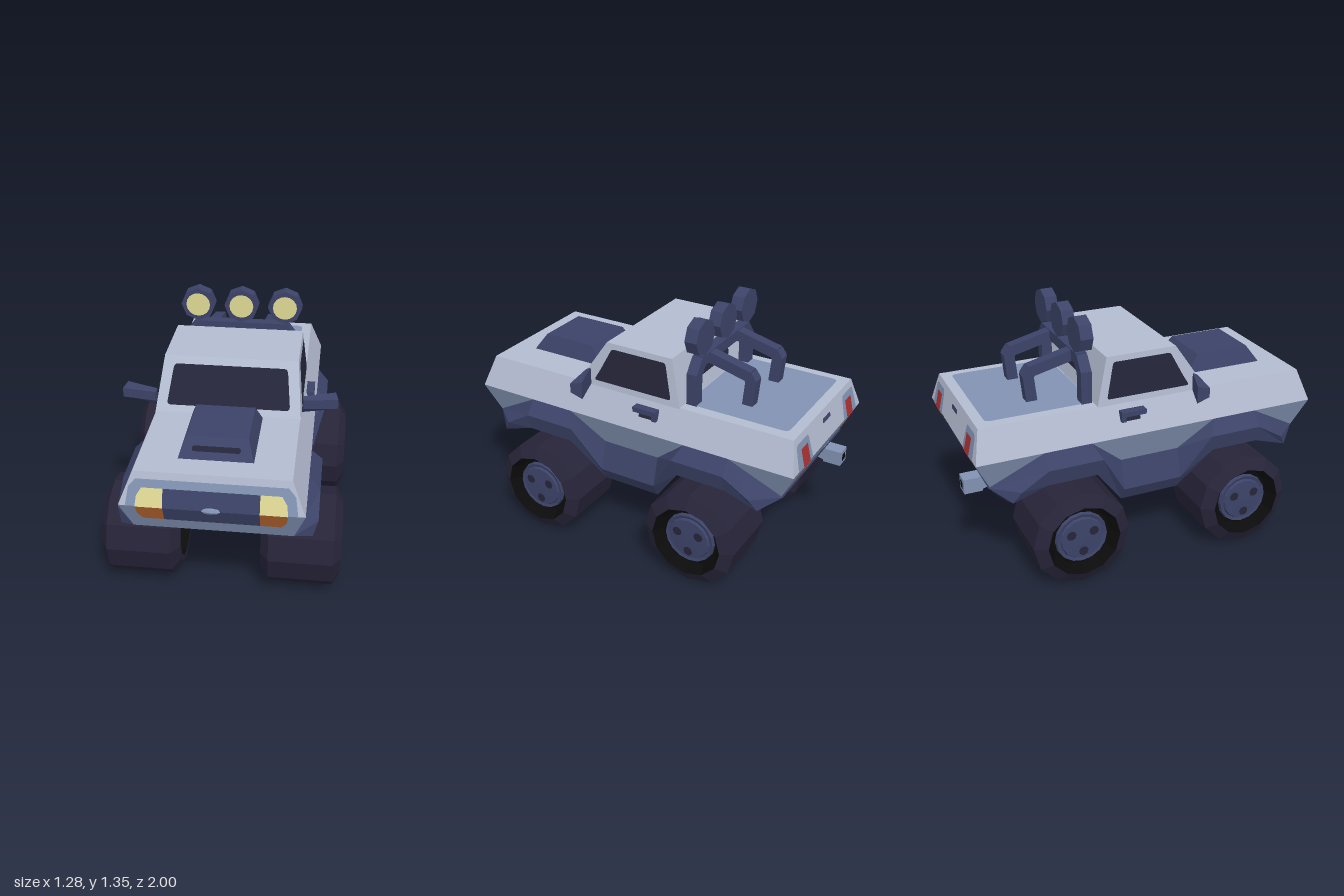
import * as THREE from 'three';

const paint = (color) => new THREE.MeshStandardMaterial({ color, flatShading: true, side: THREE.DoubleSide });
const lin = (y0, a, y1, b) => (y) => a + (b - a) * (y - y0) / (y1 - y0);
const V = (x, y, z) => new THREE.Vector3(x, y, z);

export function createModel() {
  const M = {
    bodySilver: paint(0xb3bbd0), trimBlue: paint(0x8192b2), navy: paint(0x3c4368),
    tyre: paint(0x272439), glass: paint(0x25253a), black: paint(0x0b0b0c),
    lampYellow: paint(0xdfda94), amber: paint(0xb4652f), red: paint(0xa83032),
  };
  for (const n in M) M[n].name = n;
  const model = new THREE.Group();
  model.name = 'monsterPickup';

  function add(name, geo, mat, parent = model) {
    const g = geo.index ? geo.toNonIndexed() : geo;
    g.computeVertexNormals();
    const mesh = new THREE.Mesh(g, mat);
    mesh.name = name;
    parent.add(mesh);
    return mesh;
  }
  // Box whose bottom and top are [half width, front z, back z]
  function frustum(name, mat, y0, lo, y1, hi) {
    const g = new THREE.BoxGeometry(2, 2, 2), p = g.attributes.position;
    for (let i = 0; i < p.count; i++) {
      const s = p.getY(i) < 0 ? lo : hi;
      p.setXYZ(i, p.getX(i) * s[0], p.getY(i) < 0 ? y0 : y1, p.getZ(i) > 0 ? s[1] : s[2]);
    }
    return add(name, g, mat);
  }
  // Flat painted panel with rounded corners, laid on a surface by a mapping
  function panel(name, mat, pts, r, map) {
    const s = new THREE.Shape(), v = pts.map(([x, y]) => new THREE.Vector2(x, y)), n = v.length;
    const toward = (a, b) => a.clone().add(b.clone().sub(a).setLength(r));
    v.forEach((c, i) => {
      const a = r ? toward(c, v[(i + n - 1) % n]) : c, b = r ? toward(c, v[(i + 1) % n]) : c;
      if (i) s.lineTo(a.x, a.y); else s.moveTo(a.x, a.y);
      if (r) s.quadraticCurveTo(c.x, c.y, b.x, b.y);
    });
    const g = new THREE.ShapeGeometry(s, 3), p = g.attributes.position;
    for (let i = 0; i < p.count; i++) p.setXYZ(i, ...map(p.getX(i), p.getY(i)));
    return add(name, g, mat);
  }
  const onFront = (z, e) => (u, v) => [u, v, z(v) + e];
  const onBack = (z, e) => (u, v) => [-u, v, z(v) - e];
  const rect = (x0, x1, y0, y1) => [[x0, y0], [x1, y0], [x1, y1], [x0, y1]];
  const box = (name, mat, size, pos) => {
    const m = add(name, new THREE.BoxGeometry(...size), mat);
    m.position.set(...pos);
    return m;
  };
  const bar = (name, mat, a, b, w) => {
    const m = add(name, new THREE.BoxGeometry(w, w, a.distanceTo(b) + w * 0.3), mat);
    m.position.copy(a).lerp(b, 0.5);
    m.lookAt(b);
    return m;
  };

  // Body shell, cab and hood scoop
  frustum('lowerBody', M.trimBlue, 0.56, [0.40, 0.91, -0.90], 0.725, [0.455, 0.98, -0.98]);
  frustum('upperBody', M.bodySilver, 0.725, [0.455, 0.98, -0.98], 0.895, [0.386, 0.93, -0.94]);
  frustum('cab', M.bodySilver, 0.89, [0.39, 0.34, -0.30], 1.15, [0.36, 0.165, -0.235]);
  frustum('hoodScoop', M.navy, 0.89, [0.19, 0.80, 0.34], 0.99, [0.155, 0.73, 0.41]);
  panel('scoopSlot', M.glass, rect(-0.12, 0.12, 0.93, 0.953), 0.01, onFront(lin(0.89, 0.80, 0.99, 0.73), 0.004));
  panel('bedFloor', M.trimBlue, rect(-0.33, 0.33, 0.305, 0.885), 0.03, (u, v) => [u, 0.899, -v]);

  // Cab windows
  panel('windshield', M.glass, [[-0.33, 0.93], [0.33, 0.93], [0.305, 1.115], [-0.305, 1.115]], 0.02,
    onFront(lin(0.89, 0.34, 1.15, 0.165), 0.005));
  panel('rearWindow', M.glass, rect(-0.19, 0.19, 0.97, 1.07), 0.02, onBack(lin(0.89, -0.30, 1.15, -0.235), 0.004));
  const cabX = lin(0.89, 0.39, 1.15, 0.36);
  for (const s of [1, -1]) {
    const pts = [[0.235, 0.925], [0.20, 0.985], [0.13, 1.12], [-0.20, 1.12], [-0.245, 0.925]].map(([z, y]) => [-s * z, y]);
    panel('sideWindow', M.glass, pts, 0.015, (u, v) => [s * (cabX(v) + 0.004), v, -s * u]);
  }

  // Front face
  const fUp = lin(0.725, 0.98, 0.895, 0.93), fLow = lin(0.56, 0.91, 0.725, 0.98);
  panel('frontTrim', M.trimBlue, [[-0.42, 0.726], [0.42, 0.726], [0.405, 0.82], [0.37, 0.86], [-0.37, 0.86], [-0.405, 0.82]],
    0, onFront(fUp, 0.003));
  panel('upperGrille', M.navy, rect(-0.236, 0.236, 0.725, 0.82), 0, onFront(fUp, 0.006));
  panel('lowerGrille', M.navy, rect(-0.236, 0.236, 0.635, 0.725), 0, onFront(fLow, 0.006));
  const latch = add('grilleLatch', new THREE.SphereGeometry(1, 8, 4), M.trimBlue);
  latch.scale.set(0.055, 0.017, 0.018);
  latch.position.set(0, 0.725, 0.98);

  // Back face
  const bUp = lin(0.725, -0.98, 0.895, -0.94), bLow = lin(0.56, -0.90, 0.725, -0.98);
  panel('tailgateHandle', M.navy, rect(-0.05, 0.05, 0.83, 0.855), 0.01, onBack(bUp, 0.005));

  const bodyX = lin(0.725, 0.455, 0.895, 0.386);
  for (const s of [1, -1]) {
    const mir = (pts) => pts.map(([x, y]) => [s * x, y]);
    panel('headlight', M.lampYellow, mir([[0.236, 0.725], [0.372, 0.725], [0.365, 0.78], [0.34, 0.82], [0.236, 0.82]]), 0, onFront(fUp, 0.006));
    panel('indicator', M.amber, mir([[0.236, 0.635], [0.34, 0.635], [0.365, 0.67], [0.372, 0.725], [0.236, 0.725]]), 0, onFront(fLow, 0.006));
    panel('tailTrim', M.trimBlue, mir([[0.215, 0.726], [0.395, 0.726], [0.375, 0.86], [0.23, 0.86]]), 0.02, onBack(bUp, 0.003));
    panel('tailLight', M.red, mir(rect(0.255, 0.335, 0.725, 0.825)), 0, onBack(bUp, 0.006));
    panel('tailIndicator', M.amber, mir([[0.265, 0.635], [0.325, 0.635], [0.335, 0.725], [0.255, 0.725]]), 0, onBack(bLow, 0.005));

    // Door handle with its dark recess
    panel('handleRecess', M.glass, mir([[-0.045, 0.80], [0.05, 0.80], [0.05, 0.86], [-0.045, 0.86]]),
      0, (u, v) => [s * (bodyX(v) + 0.004), v, -0.115 - s * u]);
    box('doorHandle', M.navy, [0.05, 0.028, 0.14], [s * 0.42, 0.845, -0.113]);
    box('handleEnd', M.navy, [0.045, 0.05, 0.025], [s * 0.422, 0.828, -0.172]);

    // Swept mirror, thinner toward the door
    const g = new THREE.BoxGeometry(0.185, 0.095, 0.065), p = g.attributes.position;
    for (let i = 0; i < p.count; i++) {
      if (p.getX(i) * s < 0) p.setZ(i, p.getZ(i) * 0.4);
      if (p.getZ(i) > 0) p.setY(i, p.getY(i) * 0.55 + 0.01);
    }
    const m = add('wingMirror', g, M.navy);
    m.position.set(s * 0.484, 0.943, 0.245);
    m.rotation.y = s * 0.25;
  }

  // Fender flares, rocker panels and belly: rails down each station, mirrored to four quarters
  const stations = [
    [[0.40, 0.56, 0.91], [0.515, 0.56, 0.77], [0.49, 0.495, 0.81]],
    [[0.455, 0.725, 0.62], [0.515, 0.65, 0.62], [0.49, 0.555, 0.62]],
    [[0.455, 0.725, 0.36], [0.515, 0.65, 0.32], [0.49, 0.555, 0.345]],
    [[0.40, 0.56, 0.17], [0.445, 0.40, 0.17], [0.40, 0.32, 0.17]],
    [[0.40, 0.56, 0], [0.445, 0.40, 0], [0.40, 0.32, 0]],
  ];
  const skirt = [], belly = [];
  for (const sx of [1, -1]) for (const sz of [1, -1]) {
    const quad = (out, ...q) => {
      const c = q.map(([x, y, z]) => [x * sx, y, z * sz]);
      if (sx * sz < 0) c.reverse();
      for (const i of [0, 1, 2, 0, 2, 3]) out.push(...c[i]);
    };
    const mid = ([, y, z]) => [0, y, z];
    const [U, C, L] = stations[0];
    quad(skirt, U, mid(U), mid(L), L);
    quad(skirt, U, L, C, C);
    for (let i = 0; i < 4; i++) {
      const a = stations[i], b = stations[i + 1];
      for (const k of [0, 1]) quad(skirt, a[k], a[k + 1], b[k + 1], b[k]);
      quad(belly, a[2], mid(a[2]), mid(b[2]), b[2]);
    }
  }
  const soup = (a) => new THREE.BufferGeometry().setAttribute('position', new THREE.Float32BufferAttribute(a, 3));
  add('fenderFlares', soup(skirt), M.navy);
  add('underbody', soup(belly), M.black);

  // Exhaust pipe
  bar('exhaustLead', M.trimBlue, V(-0.21, 0.545, -0.78), V(-0.21, 0.51, -0.91), 0.075);
  box('exhaustPipe', M.trimBlue, [0.083, 0.083, 0.10], [-0.21, 0.507, -0.95]);
  panel('exhaustHole', M.black, rect(0.188, 0.232, 0.485, 0.529), 0.008, onBack(() => -1, 0.002));

  // Roll bar with its two rear stays
  const hoop = [V(0.30, 0.89, -0.335), V(0.30, 1.06, -0.335), V(0.25, 1.125, -0.335)];
  const stay = [V(0.16, 1.125, -0.34), V(0.16, 1.065, -0.585), V(0.16, 1.04, -0.603), V(0.16, 0.89, -0.588)];
  for (const s of [1, -1]) {
    for (const path of [hoop, stay]) {
      const p = path.map((q) => V(q.x * s, q.y, q.z));
      for (let i = 1; i < p.length; i++) bar('rollBarTube', M.navy, p[i - 1], p[i], 0.06);
    }
  }
  bar('rollBarTop', M.navy, V(-0.25, 1.125, -0.335), V(0.25, 1.125, -0.335), 0.06);

  // Roof spotlights
  for (const x of [-0.25, 0, 0.25]) {
    const can = add('spotlight', new THREE.CylinderGeometry(0.098, 0.098, 0.07, 8).rotateX(Math.PI / 2), M.navy);
    can.position.set(x, 1.257, -0.335);
    const lens = add('spotlightLens', new THREE.CircleGeometry(0.069, 16), M.lampYellow);
    lens.position.set(x, 1.257, -0.296);
  }

  // Wheels: profiles are [radius, distance from the centre line], turned about x
  const turned = (pts, n) => new THREE.LatheGeometry(pts.map(([r, x]) => new THREE.Vector2(r, x)), n).rotateZ(-Math.PI / 2);
  for (const s of [1, -1]) for (const z of [0.485, -0.482]) {
    const w = new THREE.Group();
    w.name = 'wheel';
    w.position.set(0, 0.268, z);
    w.rotation.y = s > 0 ? 0 : Math.PI;
    model.add(w);
    add('tyre', turned([[0.17, 0.215], [0.2, 0.215], [0.267, 0.26], [0.267, 0.60], [0.2, 0.64]], 12), M.tyre, w);
    add('innerWell', turned([[0, 0.28], [0.15, 0.28], [0.17, 0.215]], 12), M.black, w);
    add('outerWell', turned([[0.2, 0.64], [0.165, 0.58], [0, 0.58]], 12), M.black, w);
    add('hub', turned([[0.145, 0.58], [0.14, 0.60], [0.122, 0.594], [0.115, 0.606], [0, 0.612]], 16), M.navy, w);
    for (let i = 0; i < 3; i++) {
      const a = 0.55 + i * Math.PI * 2 / 3;
      const hole = add('hubHole', new THREE.CircleGeometry(0.027, 8).rotateY(Math.PI / 2), M.glass, w);
      hole.position.set(0.614, 0.072 * Math.sin(a), -0.072 * Math.cos(a));
    }
  }
  return model;
}
